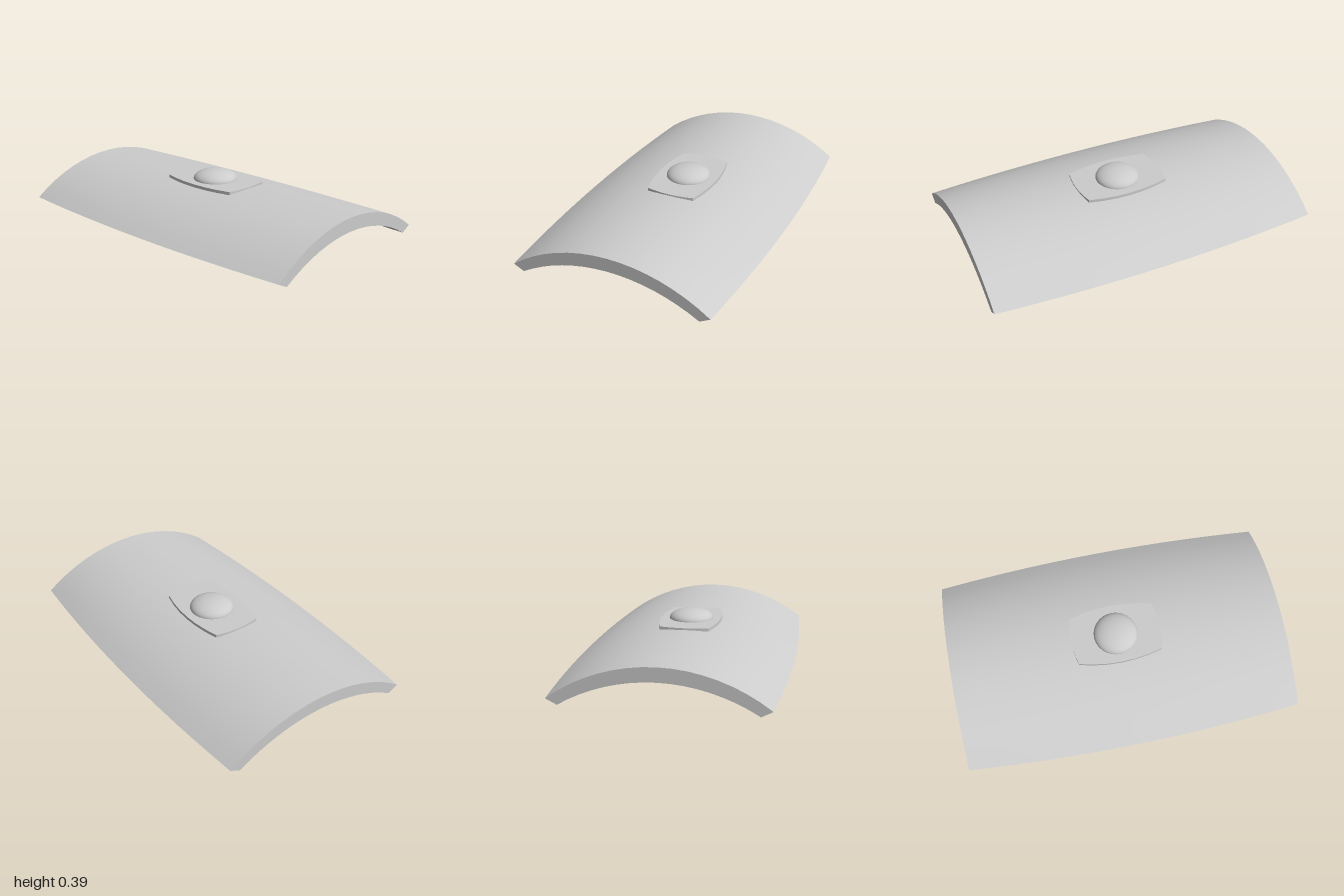
import * as THREE from 'three';
import { toCreasedNormals } from 'three/addons/utils/BufferGeometryUtils.js';

// points of a shallow arch from x = -halfWidth to +halfWidth
function arch(halfWidth, top, edge, n = 16) {
  const rise = top - edge;
  const r = (halfWidth ** 2 + rise ** 2) / (2 * rise);
  const a = Math.asin(halfWidth / r);
  return Array.from({ length: n + 1 }, (_, i) => {
    const t = -a + (2 * a * i) / n;
    return new THREE.Vector2(r * Math.sin(t), top - r + r * Math.cos(t));
  });
}

// flat outline lying in the xz plane, thickened upwards
function slab(shape, depth, bevel = 0) {
  const geo = new THREE.ExtrudeGeometry(shape, {
    depth, curveSegments: 6, bevelEnabled: bevel > 0,
    bevelSize: bevel, bevelThickness: bevel, bevelOffset: -bevel, bevelSegments: 1,
  });
  return geo.rotateX(-Math.PI / 2);
}

// bar with a six-sided section swept along a bent line in the xy plane
function sweep(points, halfThick, halfDepth, sides = 6) {
  const pos = [], index = [];
  const path = points.map(([x, y]) => new THREE.Vector2(x, y));
  const last = path.length - 1;
  path.forEach((p, i) => {
    const t0 = path[i].clone().sub(path[Math.max(i - 1, 0)]).normalize();
    const t1 = path[Math.min(i + 1, last)].clone().sub(p).normalize();
    const t = t0.add(t1).normalize();
    const zc = 0.13 + 0.1 * p.y; // slight lean
    for (let j = 0; j < sides; j++) {
      const a = ((j + 0.5) / sides) * Math.PI * 2;
      const c = Math.cos(a) * halfThick;
      pos.push(p.x - t.y * c, p.y + t.x * c, zc + Math.sin(a) * halfDepth);
    }
  });
  for (let i = 0; i < last; i++) {
    for (let j = 0; j < sides; j++) {
      const k = (j + 1) % sides;
      const a = i * sides + j, b = i * sides + k;
      index.push(a, b, a + sides, b, b + sides, a + sides);
    }
  }
  for (let j = 1; j < sides - 1; j++) {
    const e = last * sides;
    index.push(0, j + 1, j, e, e + j, e + j + 1);
  }
  const geo = new THREE.BufferGeometry();
  geo.setAttribute('position', new THREE.Float32BufferAttribute(pos, 3));
  geo.setIndex(index);
  return toCreasedNormals(geo, 0.7);
}

export function createModel() {
  const group = new THREE.Group();
  const grey = new THREE.MeshStandardMaterial({ color: 0xcccccc });
  grey.name = 'light grey';

  const add = (name, geo) => {
    const mesh = new THREE.Mesh(geo, grey);
    mesh.name = name;
    group.add(mesh);
    return mesh;
  };

  // curved board: arched section, narrowing towards both ends
  const section = new THREE.Shape([
    ...arch(0.57, 0.25, 0.1),
    ...arch(0.637, 0.331, 0.132).reverse(),
  ]);
  const board = new THREE.ExtrudeGeometry(section, { depth: 2, steps: 14, bevelEnabled: false });
  board.translate(0, 0, -1);
  const p = board.attributes.position;
  for (let i = 0; i < p.count; i++) {
    const z = p.getZ(i);
    p.setX(i, p.getX(i) * (1 - 0.073 * z * z));
    p.setY(i, p.getY(i) + 0.004 * z);
  }
  add('board', toCreasedNormals(board, 0.5));

  // central plate with bowed sides
  const outline = new THREE.Shape();
  outline.moveTo(-0.145, -0.25);
  outline.quadraticCurveTo(0, -0.288, 0.145, -0.25);
  outline.quadraticCurveTo(0.217, 0, 0.145, 0.25);
  outline.quadraticCurveTo(0, 0.288, -0.145, 0.25);
  outline.quadraticCurveTo(-0.217, 0, -0.145, -0.25);
  add('centrePlate', toCreasedNormals(slab(outline, 0.018), 0.5)).position.y = 0.322;

  // domed boss
  const dome = new THREE.SphereGeometry(0.132, 32, 12, 0, Math.PI * 2, 0, Math.PI / 2);
  dome.scale(1, 0.44, 1);
  add('boss', dome).position.y = 0.339;

  // mounting pads under the board
  const pad = new THREE.Shape();
  pad.absarc(0, 0.095, 0.055, 0, Math.PI, false);
  pad.absarc(0, -0.095, 0.055, Math.PI, Math.PI * 2, false);
  for (const side of [-1, 1]) {
    const mesh = add(side > 0 ? 'leftPad' : 'rightPad', slab(pad, 0.02, 0.012));
    mesh.position.set(side * 0.195, 0.214, 0.14);
    mesh.rotation.z = -side * 0.12;
  }

  // bent grip with feet turned outwards
  add('grip', sweep([
    [-0.225, 0.193], [-0.165, 0.198], [-0.145, 0.15], [-0.12, 0.095], [-0.075, 0.042],
    [-0.01, 0.022], [0.068, 0.044], [0.12, 0.1], [0.145, 0.15], [0.165, 0.198], [0.225, 0.193],
  ], 0.02, 0.018));

  return group;
}
